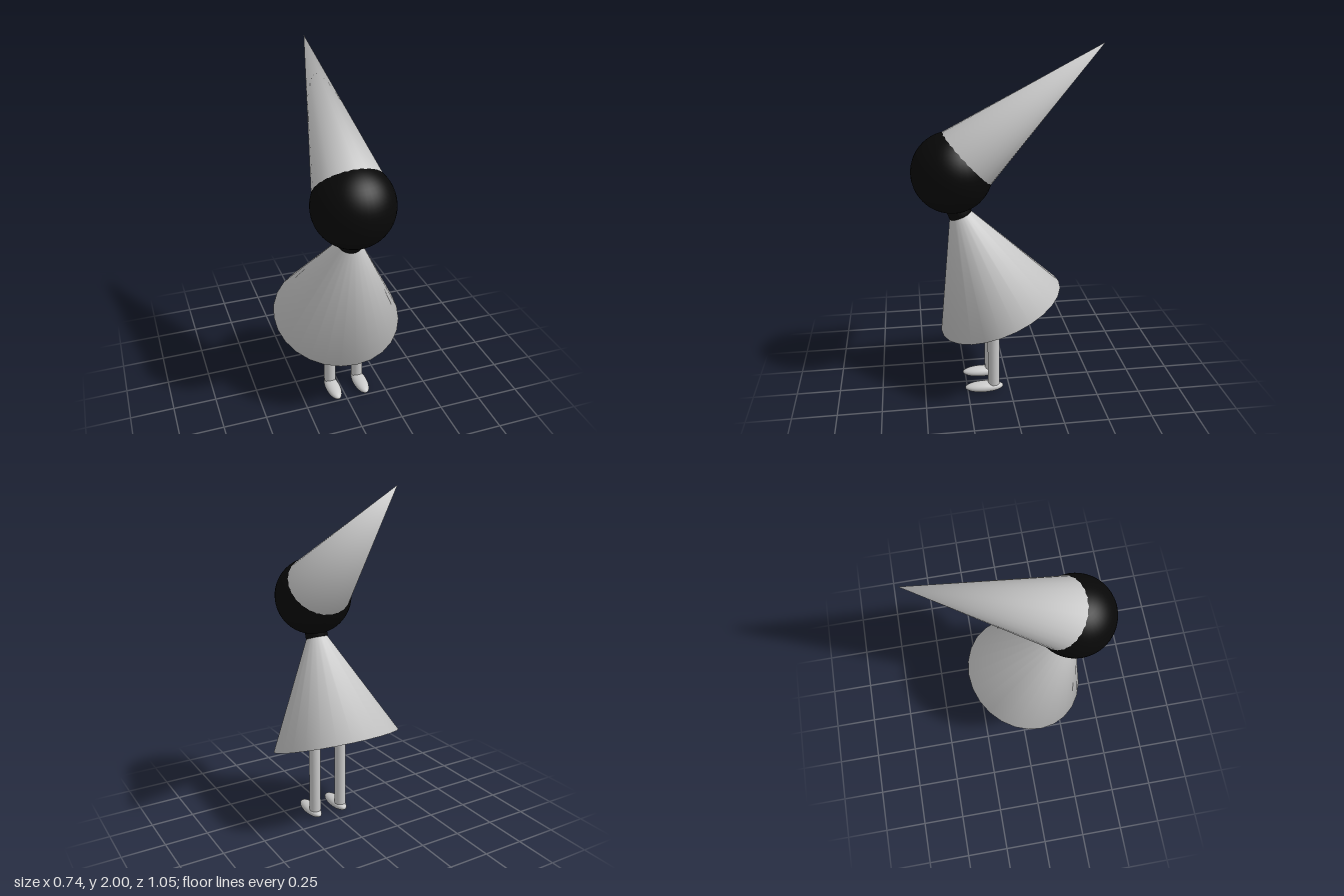
import * as THREE from 'three';
import { mergeVertices } from 'three/addons/utils/BufferGeometryUtils.js';

const SIDES = 26;
const grey = new THREE.MeshStandardMaterial({ color: 0xcccccc });
const black = new THREE.MeshStandardMaterial({ color: 0x080808 });

// Closed cone or cylinder with soft, shared rim normals
function softCone(rTop, rBottom, height) {
  const raw = new THREE.CylinderGeometry(rTop, rBottom, height, SIDES);
  raw.deleteAttribute('normal');
  raw.deleteAttribute('uv');
  const geometry = mergeVertices(raw, 1e-5);
  geometry.computeVertexNormals();
  return geometry;
}

export function createModel() {
  const model = new THREE.Group();

  function add(name, geometry, material, x, y, z) {
    const mesh = new THREE.Mesh(geometry, material);
    mesh.name = name;
    mesh.position.set(x, y, z);
    model.add(mesh);
    return mesh;
  }

  // Tapered part whose base centre sits at (0, y, z), leaning about x by tilt
  function leaning(name, rTop, rBottom, height, material, y, z, tilt) {
    const geometry = softCone(rTop, rBottom, height).translate(0, height / 2, 0);
    add(name, geometry, material, 0, y, z).rotation.x = tilt;
  }

  // Dress, neck, head and long pointed hat
  leaning('dress', 0.0625, 0.373, 0.618, grey, 0.5, 0.043, 0.37);
  leaning('neck', 0.066, 0.066, 0.12, black, 1.075, 0.263, 0.37);
  add('head', new THREE.SphereGeometry(0.225, 40, 28), black, 0, 1.32, 0.305);
  leaning('hat', 0, 0.207, 1.02, grey, 1.356, 0.267, -0.888);

  // Legs and flat oval feet, standing slightly off centre
  for (const [side, x] of [['left', 0.115], ['right', -0.06]]) {
    add(side + 'Leg', new THREE.CylinderGeometry(0.034, 0.034, 0.45, 20), grey, x, 0.275, 0.097);
    add(side + 'Foot', new THREE.SphereGeometry(1, 26, 18), grey, x, 0.032, 0.153)
      .scale.set(0.043, 0.03, 0.113);
  }

  return model;
}
